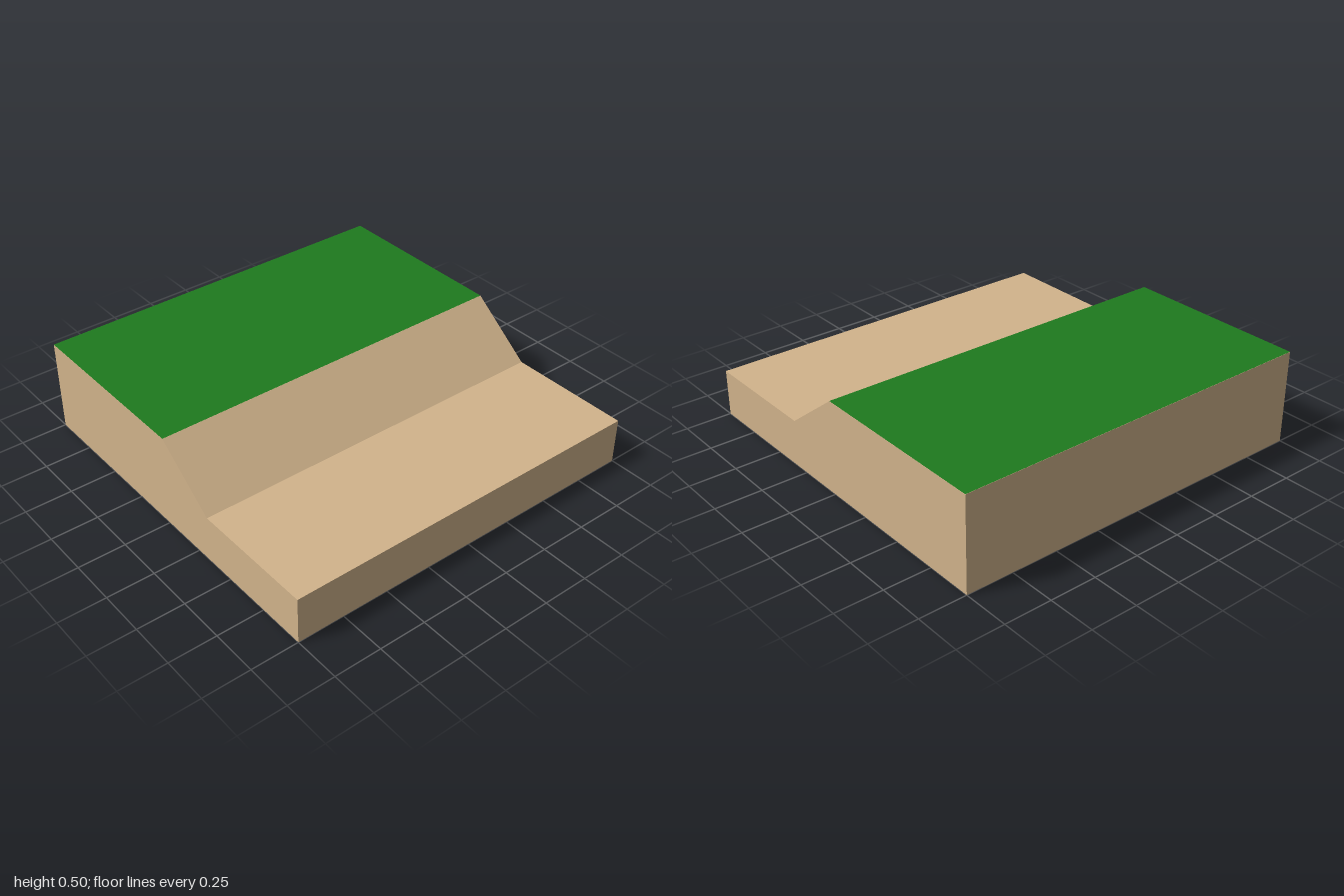
import * as THREE from 'three';

export function createModel() {
  const model = new THREE.Group();

  // Sandy ground: terrace, slope and lower flat, extruded along z
  const profile = new THREE.Shape([
    [-1, 0], [1, 0], [1, 0.25], [0.333, 0.25], [0, 0.5], [-1, 0.5],
  ].map(([x, y]) => new THREE.Vector2(x, y)));
  const groundGeometry = new THREE.ExtrudeGeometry(profile, { depth: 2, bevelEnabled: false });
  groundGeometry.translate(0, 0, -1);
  const ground = new THREE.Mesh(
    groundGeometry,
    new THREE.MeshStandardMaterial({ color: 0xd2b48c, flatShading: true }),
  );
  ground.name = 'ground';
  model.add(ground);

  // Grass sheet covering the raised terrace
  const grass = new THREE.Mesh(
    new THREE.PlaneGeometry(1, 2).rotateX(-Math.PI / 2),
    new THREE.MeshStandardMaterial({ color: 0x1e7a1e }),
  );
  grass.position.set(-0.5, 0.501, 0);
  grass.name = 'grass';
  model.add(grass);

  return model;
}
